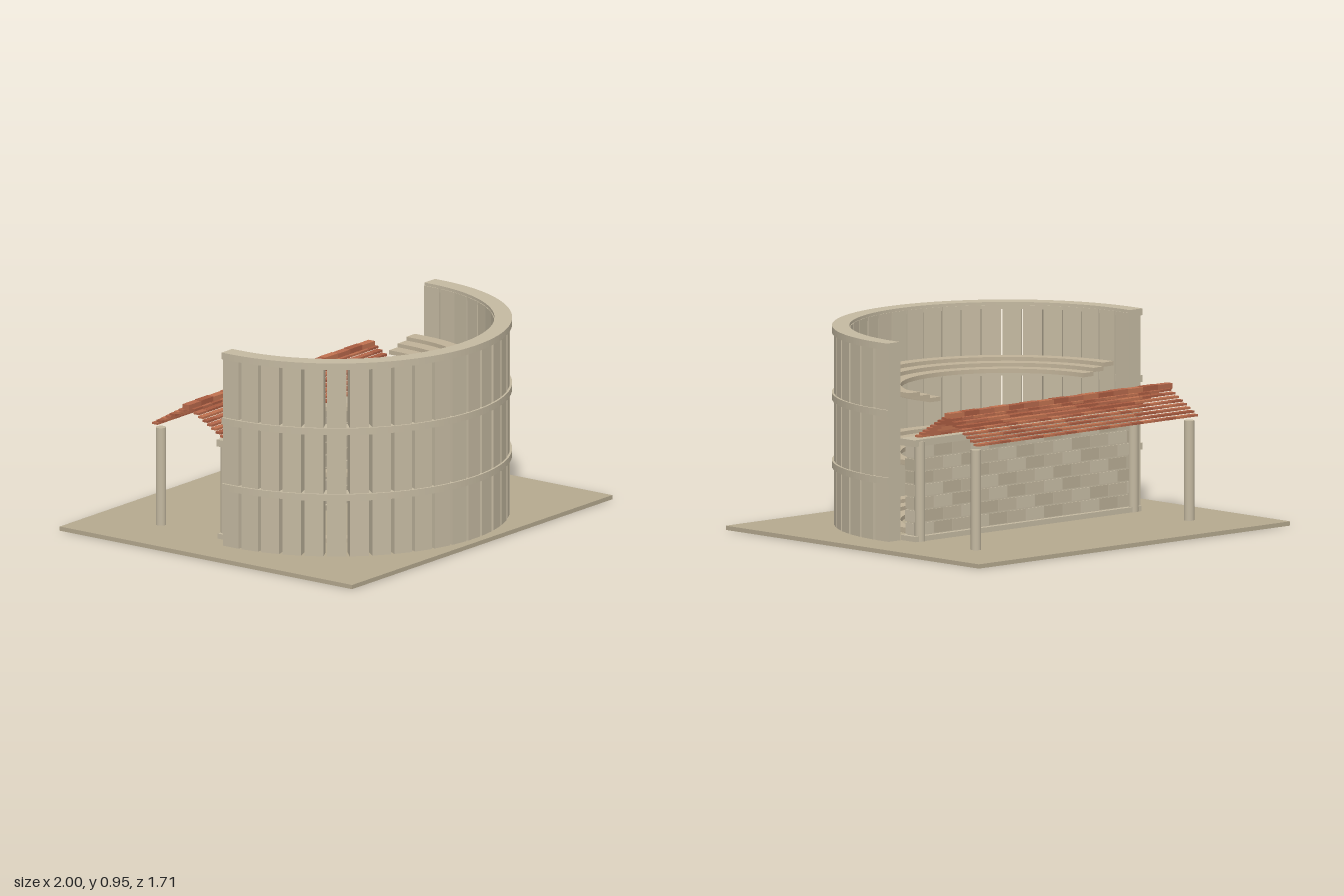
import * as THREE from 'three';

const mat = (color, flat = false) => new THREE.MeshStandardMaterial({ color, flatShading: flat });
const ground = mat(0xb5a98f), stone = mat(0xc4b9a1), seatStone = mat(0xc0b298);
const blockTones = [mat(0xc0b59d), mat(0xb8ad95), mat(0xc8bda6)];
const tileTones = [mat(0xb5674a), mat(0xa85b40), mat(0xc0714f)];

function add(parent, name, geo, material, x = 0, y = 0, z = 0) {
  const m = new THREE.Mesh(geo, material);
  m.name = name;
  m.position.set(x, y, z);
  parent.add(m);
  return m;
}

function group(parent, name) {
  const g = new THREE.Group();
  g.name = name;
  parent.add(g);
  return g;
}

const box = (w, h, d) => new THREE.BoxGeometry(w, h, d);

// half ring of rectangular section, with straight tails running back past the centre line
function halfRing(rIn, rOut, height, end, tailRight, tailLeft) {
  const s = new THREE.Shape();
  s.moveTo(rOut, -tailRight);
  s.lineTo(rOut, 0);
  s.absarc(0, 0, rOut, 0, end, false);
  if (tailLeft) {
    s.lineTo(-rOut, -tailLeft);
    s.lineTo(-rIn, -tailLeft);
  }
  s.absarc(0, 0, rIn, end, 0, true);
  s.lineTo(rIn, -tailRight);
  s.closePath();
  const g = new THREE.ExtrudeGeometry(s, { depth: height, bevelEnabled: false, curveSegments: 48 });
  g.rotateX(Math.PI / 2);
  g.translate(0, height, 0);
  return g;
}

export function createModel() {
  const model = new THREE.Group();
  model.name = 'theatre';

  add(model, 'ground', box(2, 0.02, 1.71), ground, 0, 0.01, 0);

  // curved outer wall: separate piers tied by three bands
  const wall = group(model, 'outerWall');
  const pierGeo = box(0.075, 0.92, 0.09);
  for (let i = 0; i <= 24; i++) {
    const a = (i / 24) * Math.PI;
    const pier = add(wall, 'pier', pierGeo, stone, 0.772 * Math.cos(a), 0.48, 0.772 * Math.sin(a));
    pier.rotation.y = -a;
  }
  const bandGeo = halfRing(0.738, 0.82, 0.032, Math.PI, 0.045, 0.045);
  for (const y of [0.29, 0.608, 0.922]) add(wall, 'band', bandGeo, stone, 0, y, 0);

  // three galleries, each with three rising seat rows
  for (const y of [0.02, 0.338, 0.655]) {
    const gallery = group(model, 'gallery');
    for (let i = 0; i < 3; i++) {
      const r = 0.5 + i * 0.066;
      add(gallery, 'seatRow', halfRing(r, r + 0.067, 0.02, Math.PI * 0.99, 0.07, 0),
        seatStone, 0, y + i * 0.018, 0);
    }
  }

  // stage wall: core, coursed blocks, plinth and cornice
  const stage = group(model, 'stageWall');
  add(stage, 'core', box(1.4, 0.44, 0.06), stone, 0, 0.25, -0.085);
  add(stage, 'plinth', box(1.45, 0.025, 0.1), stone, 0, 0.032, -0.09);
  add(stage, 'cornice', box(1.47, 0.032, 0.1), stone, 0, 0.484, -0.09);
  const rows = 7, rowH = 0.423 / rows, half = 0.71, blockW = 0.118;
  for (let r = 0; r < rows; r++) {
    for (let k = 0; k < 13; k++) {
      const x0 = Math.max(-half, -half + (k - (r % 2) / 2) * blockW);
      const x1 = Math.min(half, -half + (k + 1 - (r % 2) / 2) * blockW);
      if (x1 - x0 < 0.02) continue;
      add(stage, 'block', box(x1 - x0 - 0.007, rowH - 0.007, 0.074),
        blockTones[(r * 5 + k * 7) % 3], (x0 + x1) / 2, 0.045 + (r + 0.5) * rowH, -0.083);
    }
  }

  // posts carrying the roof
  const postGeo = new THREE.CylinderGeometry(0.024, 0.024, 0.47, 16);
  for (const x of [-0.685, 0.685])
    for (const z of [-0.125, -0.503]) add(model, 'post', postGeo, stone, x, 0.255, z);

  // gabled roof of overlapping flat tiles
  const roof = group(model, 'roof');
  const cols = 20, tileW = 1.415 / cols, courses = 8;
  const tileGeo = box(tileW - 0.003, 0.01, 0.031);
  for (const side of [-1, 1]) {
    for (let r = 0; r < courses; r++) {
      for (let c = 0; c < cols; c++) {
        add(roof, 'tile', tileGeo, tileTones[(r * 4 + c * 5 + (c * r) % 4) % 3],
          -0.72 + (c + 0.5) * tileW, 0.513 + r * 0.0145, -0.315 + side * (0.198 - r * 0.0255));
      }
    }
  }
  for (let i = 0; i < 15; i++)
    add(roof, 'ridgeTile', box(0.094, 0.026, 0.037), tileTones[i % 3],
      -0.694 + i * 0.0955, 0.628 + (i % 2) * 0.002, -0.315);

  return model;
}
